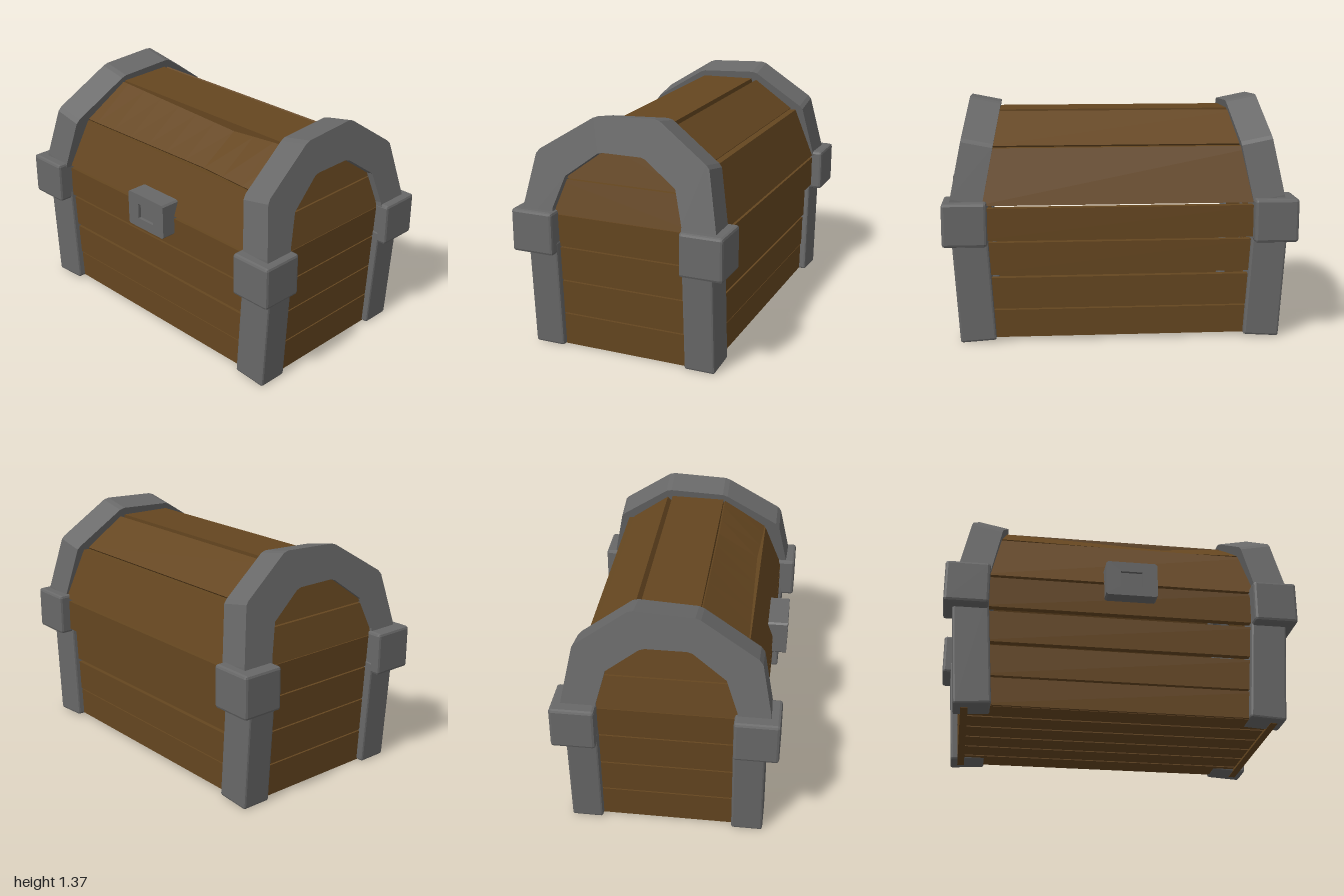
import * as THREE from 'three';
import { RoundedBoxGeometry } from 'three/addons/geometries/RoundedBoxGeometry.js';

const wood = new THREE.MeshStandardMaterial({ color: 0x654620, flatShading: true });
const iron = new THREE.MeshStandardMaterial({ color: 0x686868, flatShading: true });

// Solid with a [z, y] outline, running along x from -width/2 to width/2
function prism(points, width, steps = 1) {
  const shape = new THREE.Shape(points.map(([z, y]) => new THREE.Vector2(z, y)));
  const g = new THREE.ExtrudeGeometry(shape, { depth: width, steps, bevelEnabled: false });
  g.rotateY(-Math.PI / 2);
  g.translate(width / 2, 0, 0);
  return g;
}

// Moves every vertex by a rule
function deform(g, rule) {
  const p = g.attributes.position, v = new THREE.Vector3();
  for (let i = 0; i < p.count; i++) {
    v.fromBufferAttribute(p, i);
    rule(v);
    p.setXYZ(i, v.x, v.y, v.z);
  }
  g.computeVertexNormals();
  return g;
}

export function createModel() {
  const chest = new THREE.Group();
  chest.name = 'chest';
  const add = (name, geometry, material, x = 0, y = 0, z = 0) => {
    const mesh = new THREE.Mesh(geometry, material);
    mesh.name = name;
    mesh.position.set(x, y, z);
    chest.add(mesh);
    return mesh;
  };

  // Front and back planks: bottom, top, outer front z, outer back z; the last row is the lid rim
  const rows = [
    [0.02, 0.18, 0.507, -0.51], [0.19, 0.37, 0.512, -0.515],
    [0.39, 0.575, 0.517, -0.52], [0.597, 0.78, 0.53, -0.56],
  ];
  for (const [y0, y1, front, back] of rows) {
    const plank = new THREE.BoxGeometry(1.68, y1 - y0, 0.04);
    add('frontPlank', plank, wood, 0, (y0 + y1) / 2, front - 0.02);
    add('backPlank', plank, wood, 0, (y0 + y1) / 2, back + 0.02);
  }

  // Floor planks
  const floorCount = 6, pitch = 1.0 / floorCount;
  for (let i = 0; i < floorCount; i++)
    add('floorPlank', new THREE.BoxGeometry(1.72, 0.035, pitch - 0.016), wood, 0, 0.035, -0.5 + pitch * (i + 0.5));

  // End planks: the wall flares outward to the rim, then leans inward in the lid
  const endRows = [
    [0.003, 0.192, 0.49, 0.49], [0.2, 0.396, 0.49, 0.49], [0.404, 0.6, 0.49, 0.49],
    [0.608, 0.794, 0.49, 0.49], [0.797, 0.99, 0.49, 0.42], [0.998, 1.22, 0.42, 0.18],
  ];
  const outerX = y => (y < 0.796 ? 0.875 + 0.057 * y : 0.92 - 0.2 * (y - 0.796));
  for (const s of [-1, 1])
    for (const [y0, y1, w0, w1] of endRows) {
      const g = prism([[-w0, y0], [w0, y0], [w1, y1], [-w1, y1]], 0.04);
      add('endPlank', deform(g, v => { v.x += s * (outerX(v.y) - 0.02); }), wood, 0.003);
    }

  // Lid boards: outline corners as [z, y], then the board length
  const boards = [
    [[[0.53, 0.795], [0.425, 1.083], [0.375, 1.083], [0.485, 0.795]], 1.64],
    [[[0.42, 1.093], [0.165, 1.278], [0.14, 1.24], [0.39, 1.058]], 1.52],
    [[[0.155, 1.283], [-0.17, 1.29], [-0.17, 1.245], [0.155, 1.238]], 1.46],
    [[[-0.2, 1.283], [-0.425, 1.112], [-0.395, 1.076], [-0.172, 1.247]], 1.52],
    [[[-0.458, 1.103], [-0.56, 0.795], [-0.515, 0.795], [-0.4, 1.103]], 1.64],
  ];
  boards.forEach(([outline, width], i) => {
    const g = prism(outline, width, i === 1 ? 10 : 1);
    // The upper front board is warped
    if (i === 1) deform(g, v => {
      const sag = Math.max(0, 1 - Math.abs(v.x - 0.3) / (v.x < 0.3 ? 0.95 : 0.4));
      if (v.y > 1.17) v.y -= 0.035 * sag;
      else v.z -= 0.02 * sag;
    });
    add('lidBoard', g, wood);
  });

  // Iron arches over the lid ends, leaning inward
  const archOutline = [
    [0.585, -0.15], [0.57, 0], [0.513, 0.29], [0.492, 0.317], [0.18, 0.515], [0.15, 0.526],
    [-0.175, 0.543], [-0.207, 0.535], [-0.487, 0.335], [-0.505, 0.315], [-0.568, 0], [-0.585, -0.15],
    [-0.38, -0.15], [-0.375, 0], [-0.325, 0.19], [-0.145, 0.324], [-0.115, 0.334],
    [0.11, 0.334], [0.14, 0.326], [0.325, 0.185], [0.39, 0], [0.39, -0.15],
  ];
  for (const s of [-1, 1]) {
    const arch = add('lidArch', prism(archOutline, 0.18), iron, s * 0.85 + 0.014, 0.82, 0);
    arch.rotation.z = s * 0.197;

    // Corner legs, the brackets above them and the posts hidden behind them
    for (const f of [-1, 1]) {
      const leg = add('cornerLeg', new RoundedBoxGeometry(0.203, 0.64, 0.178, 1, 0.012), iron, s * 0.832, 0.327, f * 0.461);
      leg.rotation.z = -s * 0.064;
      add('cornerBracket', new RoundedBoxGeometry(0.25, 0.248, 0.25, 1, 0.016), iron, s * 0.875, 0.697, f * 0.5);
      add('cornerPost', new THREE.BoxGeometry(0.08, 0.72, 0.14), wood, s * 0.8, 0.39, f * 0.4);
    }
  }

  // Lock plate with a square recess
  const plate = new THREE.Shape([[-0.137, -0.105], [0.137, -0.105], [0.147, -0.095], [0.147, 0.095],
    [0.137, 0.105], [-0.137, 0.105], [-0.147, 0.095], [-0.147, -0.095]].map(p => new THREE.Vector2(...p)));
  plate.holes.push(new THREE.Path([[-0.063, -0.046], [-0.063, 0.045], [0.06, 0.045], [0.06, -0.046]]
    .map(p => new THREE.Vector2(...p))));
  add('lockPlate', new THREE.ExtrudeGeometry(plate, { depth: 0.115, bevelEnabled: false }), iron, 0.046, 0.783, 0.5);
  add('lockRecess', new THREE.BoxGeometry(0.14, 0.11, 0.08), iron, 0.045, 0.782, 0.557);

  return chest;
}
